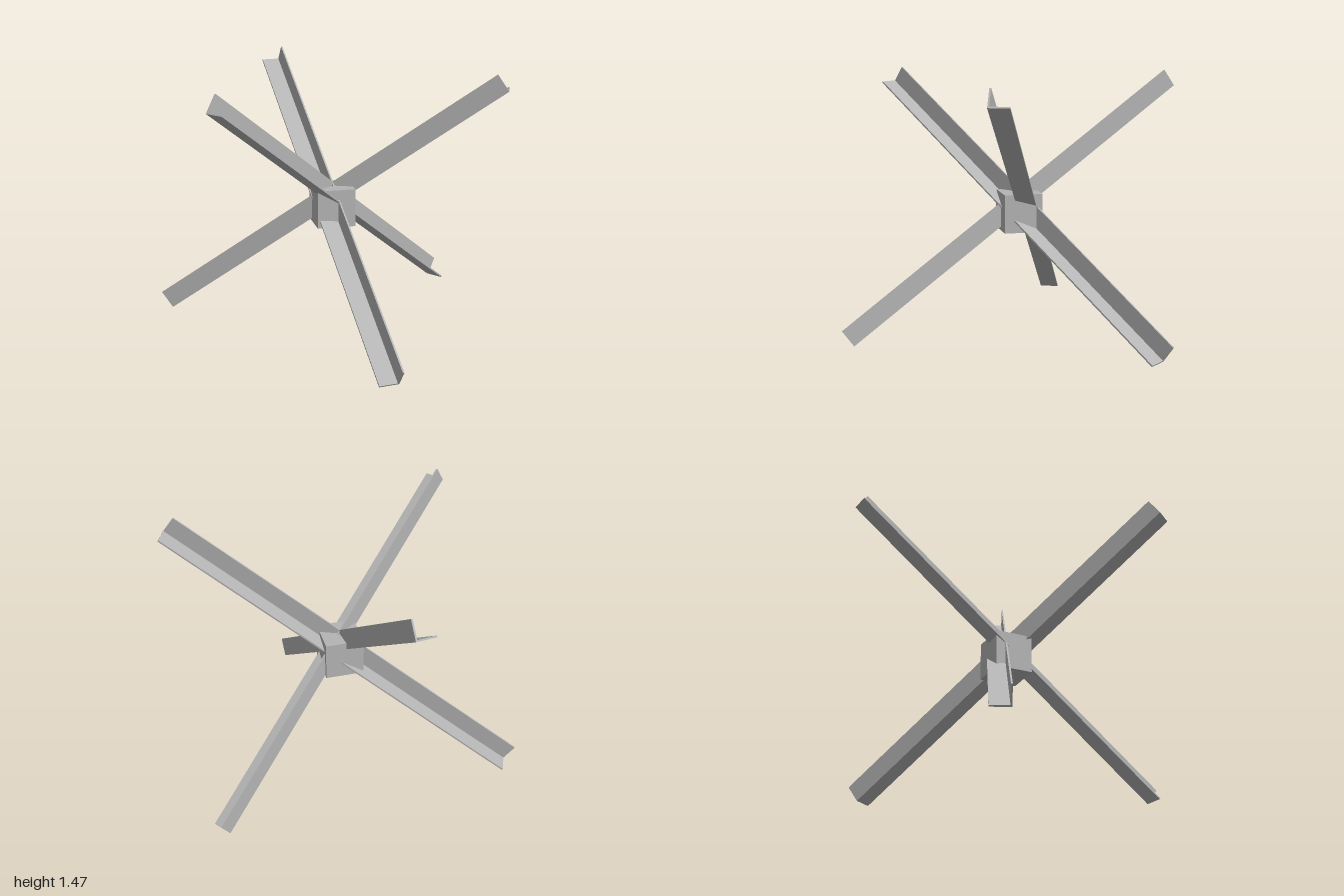
import * as THREE from 'three';

export function createModel() {
  const group = new THREE.Group();
  group.name = 'antiTankObstacle';
  const steel = new THREE.MeshStandardMaterial({ color: 0xb4b4b4 });
  steel.name = 'steel grey';

  const centre = new THREE.Vector3(0.004, 0.69, -0.033);
  const flange = 0.112, thick = 0.009, length = 2.39;

  // L-shaped section, outer corner on the beam axis
  const section = new THREE.Shape([
    [0, 0], [flange, 0], [flange, thick], [thick, thick], [thick, flange], [0, flange],
  ].map(([x, y]) => new THREE.Vector2(x - 0.004, y)));

  const beamGeometry = new THREE.ExtrudeGeometry(section, { depth: length, bevelEnabled: false });
  beamGeometry.translate(0, 0, -length / 2);
  // tilt so that the three beams are mutually perpendicular
  beamGeometry.rotateX(-Math.asin(1 / Math.sqrt(3)));

  // three crossed angle beams
  ['beamBack', 'beamLeft', 'beamRight'].forEach((name, i) => {
    const beam = new THREE.Mesh(beamGeometry, steel);
    beam.name = name;
    beam.position.copy(centre);
    beam.rotation.y = Math.PI + 0.12 - (i * 2 * Math.PI) / 3;
    group.add(beam);
  });

  // central joint block
  const hub = new THREE.Mesh(new THREE.BoxGeometry(0.218, 0.218, 0.218), steel);
  hub.name = 'hub';
  hub.position.set(0.003, 0.697, -0.033);
  group.add(hub);

  return group;
}
